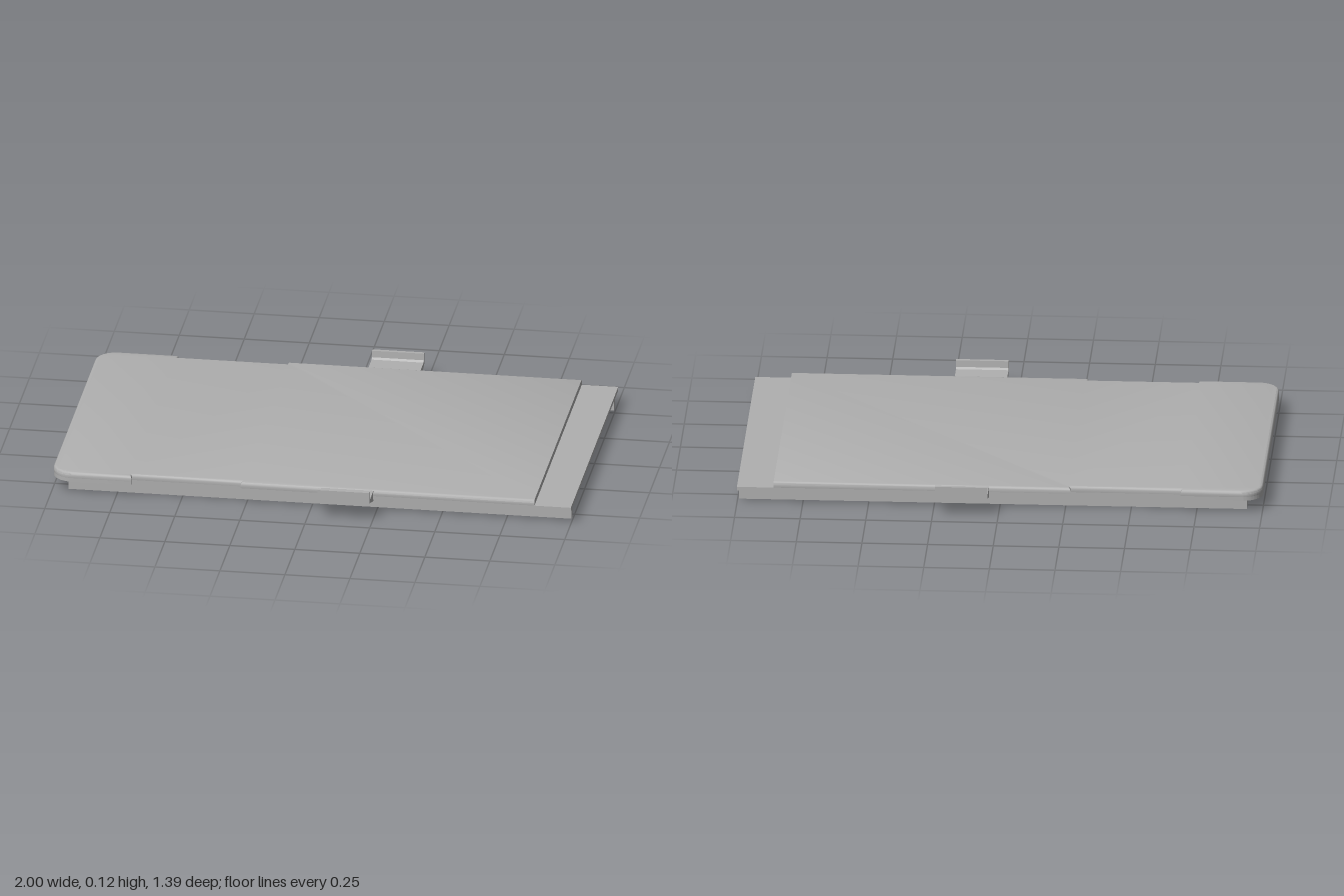
import * as THREE from 'three';
import { toCreasedNormals } from 'three/addons/utils/BufferGeometryUtils.js';

const HALF = 0.597; // half depth of the cover

// Cover outline: rounded at -x, straight at +x, a shallow notch in each long side
function coverShape(xEnd) {
  const r = 0.08, n = HALF - 0.017, s = new THREE.Shape();
  s.moveTo(-1 + r, -HALF);
  s.lineTo(-0.69, -HALF);
  s.lineTo(-0.69, -n);
  s.lineTo(-0.27, -n);
  s.lineTo(-0.27, -HALF);
  s.lineTo(xEnd, -HALF);
  s.lineTo(xEnd, HALF);
  s.lineTo(-0.27, HALF);
  s.lineTo(-0.27, n);
  s.lineTo(-0.69, n);
  s.lineTo(-0.69, HALF);
  s.lineTo(-1 + r, HALF);
  s.absarc(-1 + r, HALF - r, r, Math.PI / 2, Math.PI, false);
  s.absarc(-1 + r, -HALF + r, r, Math.PI, Math.PI * 1.5, false);
  return s;
}

export function createModel() {
  const group = new THREE.Group();
  const grey = new THREE.MeshStandardMaterial({ color: 0xb0b0b0 });
  grey.name = 'light grey plastic';
  const add = (name, geometry) => {
    const mesh = new THREE.Mesh(geometry, grey);
    mesh.name = name;
    group.add(mesh);
    return mesh;
  };

  // Thin base sheet, full length, forming the low lip at +x
  const base = new THREE.ExtrudeGeometry(coverShape(1), { depth: 0.015, bevelEnabled: false, curveSegments: 10 });
  base.rotateX(-Math.PI / 2);
  add('baseSheet', toCreasedNormals(base, 0.6)).position.y = 0.052;

  // Raised panel with a softened top edge; its lower bevel is buried in the base sheet
  const bevel = 0.01;
  const panel = new THREE.ExtrudeGeometry(coverShape(0.86 + bevel), {
    depth: 0.011, bevelThickness: 0.012, bevelSize: bevel, bevelOffset: -bevel, bevelSegments: 3, curveSegments: 10,
  });
  // keep the step at +x square
  const p = panel.attributes.position;
  for (let i = 0; i < p.count; i++) p.setX(i, Math.min(p.getX(i), 0.86));
  panel.rotateX(-Math.PI / 2);
  add('raisedPanel', toCreasedNormals(panel, 0.6)).position.y = 0.067;

  // U-shaped rim underneath, open at +x
  const rim = new THREE.Shape([
    [-0.94, -0.545], [0.995, -0.545], [0.995, -0.523], [-0.918, -0.523],
    [-0.918, 0.523], [0.995, 0.523], [0.995, 0.545], [-0.94, 0.545],
  ].map(([x, y]) => new THREE.Vector2(x, y)));
  const rimGeometry = new THREE.ExtrudeGeometry(rim, { depth: 0.052, bevelEnabled: false });
  rimGeometry.rotateX(-Math.PI / 2);
  add('lowerRim', rimGeometry);

  // Hooked clip on each long side: profile in (outward, up), extruded along x
  const hook = new THREE.Shape([
    [0.58, 0.052], [0.597, 0.046], [0.695, 0.077], [0.695, 0.12],
    [0.681, 0.12], [0.679, 0.094], [0.672, 0.087], [0.58, 0.087],
  ].map(([x, y]) => new THREE.Vector2(x, y)));
  for (const [name, turn, x] of [['frontClip', -1, 0.24], ['backClip', 1, 0.04]]) {
    const clip = new THREE.ExtrudeGeometry(hook, { depth: 0.2, bevelEnabled: false });
    clip.rotateY(turn * Math.PI / 2);
    add(name, clip).position.x = x;
  }

  return group;
}
